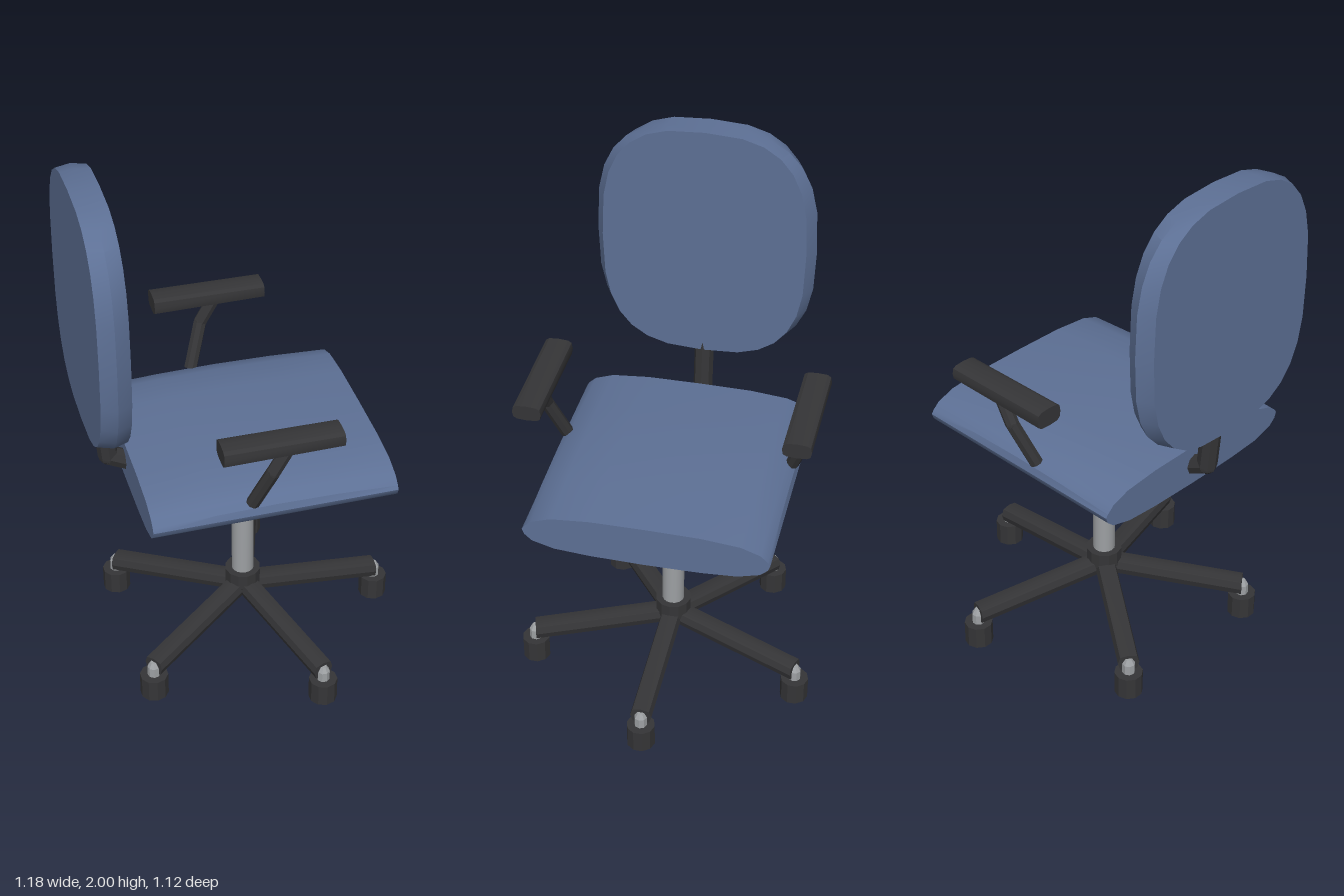
import * as THREE from 'three';
import { toCreasedNormals } from 'three/addons/utils/BufferGeometryUtils.js';

const mat = (name, color) => Object.assign(new THREE.MeshStandardMaterial({ color }), { name });
const V = (x, y, z) => new THREE.Vector3(x, y, z);

export function createModel() {
  const fabric = mat('blue fabric', 0x5d7095);
  const plastic = mat('dark plastic', 0x353537);
  const metal = mat('grey metal', 0x9da0a3);
  const chair = new THREE.Group();
  chair.name = 'officeChair';

  const add = (parent, name, geometry, material) => {
    const mesh = new THREE.Mesh(toCreasedNormals(geometry, 0.5), material);
    mesh.name = name;
    parent.add(mesh);
    return mesh;
  };
  const group = (name) => {
    const g = new THREE.Group();
    g.name = name;
    chair.add(g);
    return g;
  };
  // Upright cylinder spanning y0 to y1
  const post = (parent, name, r0, r1, y0, y1, material, sides = 12) => {
    const mesh = add(parent, name, new THREE.CylinderGeometry(r1, r0, y1 - y0, sides), material);
    mesh.position.y = (y0 + y1) / 2;
    return mesh;
  };
  // Round bar along a bent path, with a ball filling each bend
  const bar = (parent, name, points, r) => {
    for (let i = 0; i < points.length - 1; i++) {
      const dir = points[i + 1].clone().sub(points[i]);
      const mesh = add(parent, name, new THREE.CylinderGeometry(r, r, dir.length(), 8), plastic);
      mesh.position.copy(points[i]).addScaledVector(dir, 0.5);
      mesh.quaternion.setFromUnitVectors(V(0, 1, 0), dir.normalize());
      if (i > 0) add(parent, name + 'Bend', new THREE.SphereGeometry(r, 8, 6), plastic).position.copy(points[i]);
    }
  };
  // Closed section extruded along x, with a rule that reshapes each vertex
  const slab = (points, length, steps, rule) => {
    const geo = new THREE.ExtrudeGeometry(new THREE.Shape(points), { depth: length, steps, bevelEnabled: false });
    geo.translate(0, 0, -length / 2).rotateY(Math.PI / 2);
    const p = geo.attributes.position;
    const v = V(0, 0, 0);
    for (let i = 0; i < p.count; i++) {
      rule(v.fromBufferAttribute(p, i));
      p.setXYZ(i, v.x, v.y, v.z);
    }
    return geo;
  };
  const oval = (a, b, n, count) => Array.from({ length: count }, (_, i) => {
    const t = (i / count) * Math.PI * 2, c = Math.cos(t), s = Math.sin(t);
    return new THREE.Vector2(a * Math.sign(c) * Math.abs(c) ** (2 / n), b * Math.sign(s) * Math.abs(s) ** (2 / n));
  });

  // Seat cushion, slightly crowned toward the middle
  const half = [[0, 0.79], [0.2, 0.793], [0.33, 0.802], [0.41, 0.825], [0.437, 0.85], [0.445, 0.872],
    [0.437, 0.9], [0.41, 0.925], [0.34, 0.95], [0.2, 0.963], [0, 0.965]];
  const section = [...half, ...half.slice(1, -1).reverse().map(([z, y]) => [-z, y])]
    .map(([z, y]) => new THREE.Vector2(z, y));
  add(chair, 'seat', slab(section, 0.89, 4, (v) => {
    if (v.y > 0.88) v.y -= 0.015 * (v.x / 0.445) ** 2;
  }), fabric);

  // Backrest, widest halfway through its thickness
  const back = add(chair, 'backrest', slab(oval(0.41, 0.46, 2.9, 28), 0.107, 2, (v) => {
    v.z *= 1 - 0.075 * Math.abs(v.x) / 0.0535;
  }), fabric);
  back.position.set(-0.5385, 1.54, 0);
  bar(chair, 'backSupport', [V(-0.41, 0.853, 0), V(-0.503, 0.9, 0), V(-0.522, 1.11, 0)], 0.037);

  // Armrests on both sides
  for (const s of [1, -1]) {
    const arm = group(s > 0 ? 'leftArm' : 'rightArm');
    const pad = add(arm, 'armPad', slab(oval(0.0525, 0.035, 3.5, 12), 0.425, 1, (v) => {
      if (v.x > 0) v.y *= 0.85;
    }), plastic);
    pad.position.set(-0.003, 1.2, s * 0.4825);
    bar(arm, 'armPost', [V(-0.085, 0.915, s * 0.425), V(-0.03, 1.08, s * 0.482), V(0.03, 1.185, s * 0.482)], 0.025);
  }

  // Central column
  post(chair, 'seatCollar', 0.078, 0.078, 0.72, 0.8, plastic);
  post(chair, 'column', 0.042, 0.042, 0.2, 0.74, metal, 16);
  post(chair, 'hub', 0.068, 0.068, 0.19, 0.255, plastic);
  post(chair, 'hubBase', 0.035, 0.068, 0.145, 0.19, plastic);

  // Five legs with casters
  for (let i = 0; i < 5; i++) {
    const leg = group('leg' + (i + 1));
    leg.rotation.y = (i * Math.PI * 2) / 5;
    const beam = add(leg, 'legBeam', slab(oval(0.04, 0.034, 3, 8), 0.54, 1, (v) => {
      v.y += 0.16 - 0.1 * v.x;
    }), plastic);
    beam.position.x = 0.265;
    beam.position.y = -0.003;
    const caster = new THREE.Group();
    caster.name = 'caster';
    caster.position.x = 0.535;
    leg.add(caster);
    post(caster, 'casterWheel', 0.053, 0.053, 0, 0.09, plastic, 10);
    post(caster, 'casterStem', 0.024, 0.024, 0.09, 0.13, metal, 8);
    post(caster, 'casterStemTip', 0.024, 0.012, 0.13, 0.15, metal, 8);
  }
  return chair;
}
